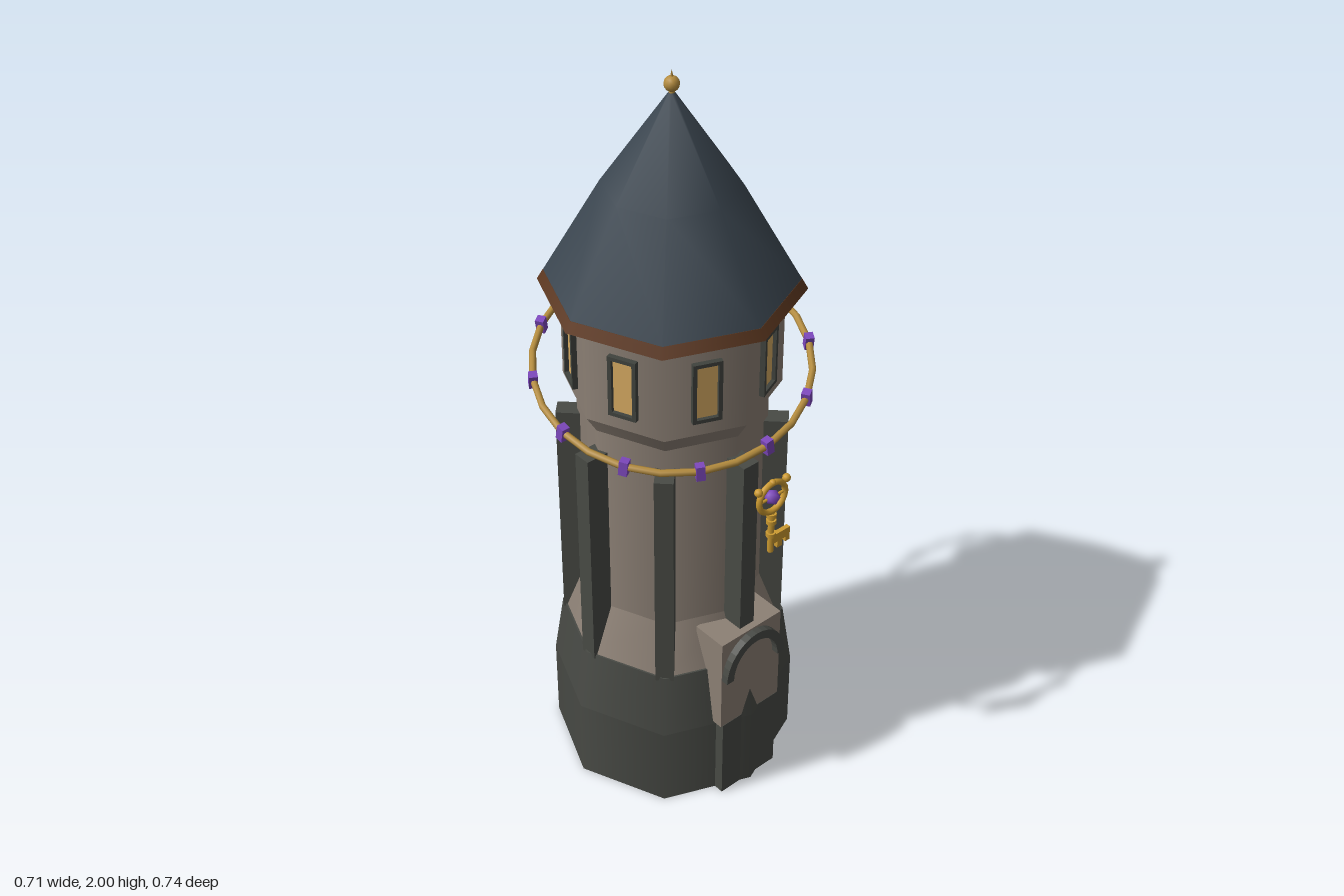
import * as THREE from 'three';

const mat = (name, color, side = THREE.FrontSide) => {
  const m = new THREE.MeshStandardMaterial({ color, side });
  m.name = name;
  return m;
};

export function createModel() {
  const darkStone = mat('dark stone', 0x484a45);
  const stone = mat('pale stone', 0x8c8075);
  const slate = mat('roof slate', 0x3b4650);
  const wood = mat('eave wood', 0x5c371f);
  const frameMat = mat('window frame', 0x40433e);
  const glow = mat('window glow', 0xd6aa62);
  const brass = mat('ring brass', 0xb48c3e);
  const gold = mat('key gold', 0xcc9a30);
  const purple = mat('purple gem', 0x7d48bd);

  const root = new THREE.Group();
  root.name = 'tower';
  const tower = new THREE.Group();
  tower.name = 'towerBody';
  tower.position.z = -0.013;
  root.add(tower);

  const add = (parent, name, geo, material, x = 0, y = 0, z = 0) => {
    const m = new THREE.Mesh(geo, material);
    m.name = name;
    m.position.set(x, y, z);
    parent.add(m);
    return m;
  };
  // Eight-sided course from radius r0 at y0 to r1 at y1
  const course = (name, material, r0, y0, r1, y1, open = true) =>
    add(tower, name, new THREE.CylinderGeometry(r1, r0, y1 - y0, 8, 1, open), material, 0, (y0 + y1) / 2, 0);

  // Base and shaft
  course('baseDrum', darkStone, 0.324, 0, 0.324, 0.24, false);
  course('baseTaper', darkStone, 0.324, 0.24, 0.297, 0.42, false);
  course('shaftFlare', stone, 0.292, 0.42, 0.241, 0.56);
  course('shaft', stone, 0.241, 0.56, 0.24, 1.12);

  // Upper room
  course('corbel', stone, 0.242, 1.12, 0.272, 1.17, false);
  course('upperRoom', stone, 0.272, 1.17, 0.272, 1.44);

  // Roof
  course('soffit', stone, 0.268, 1.432, 0.312, 1.436);
  course('eaveUnderside', wood, 0.31, 1.435, 0.325, 1.44);
  course('eaveEdge', wood, 0.325, 1.44, 0.31, 1.467, false);
  add(tower, 'roof', new THREE.LatheGeometry(
    [[0.312, 1.462], [0.168, 1.715], [0.008, 1.945]].map(p => new THREE.Vector2(...p)), 8), slate);

  // Finial
  add(tower, 'finialStem', new THREE.CylinderGeometry(0.006, 0.01, 0.04, 8), brass, 0, 1.94, 0);
  add(tower, 'finialBall', new THREE.SphereGeometry(0.019, 12, 8), brass, 0, 1.966, 0);
  add(tower, 'finialSpike', new THREE.ConeGeometry(0.006, 0.025, 8), brass, 0, 1.9875, 0);

  // Window frame with a rectangular opening
  const rect = (C, w, h) => new C([[-w, -h], [w, -h], [w, h], [-w, h]].map(p => new THREE.Vector2(...p)));
  const frameShape = rect(THREE.Shape, 0.037, 0.084);
  frameShape.holes.push(rect(THREE.Path, 0.027, 0.074));
  const frameGeo = new THREE.ExtrudeGeometry(frameShape, { depth: 0.022, bevelEnabled: false });
  const paneGeo = new THREE.BoxGeometry(0.056, 0.15, 0.006);

  for (let i = 0; i < 8; i++) {
    // Buttress on each corner
    const corner = new THREE.Group();
    corner.name = 'buttress' + i;
    corner.rotation.y = i * Math.PI / 4;
    add(corner, 'buttressPier', new THREE.BoxGeometry(0.048, 0.65, 0.09), darkStone, 0, 0.735, 0.247);
    tower.add(corner);
    // Window on each side
    const win = new THREE.Group();
    win.name = 'window' + i;
    win.rotation.y = (i + 0.5) * Math.PI / 4;
    add(win, 'windowFrame', frameGeo, frameMat, 0, 1.297, 0.243);
    add(win, 'windowPane', paneGeo, glow, 0, 1.297, 0.252);
    tower.add(win);
  }

  // Doorway: stone block, dark door slab below it, arch over it
  const doorway = new THREE.Group();
  doorway.name = 'doorway';
  root.add(doorway);
  add(doorway, 'doorBlock', new THREE.BoxGeometry(0.204, 0.29, 0.1), stone, 0, 0.395, 0.248);
  add(doorway, 'doorSlab', new THREE.BoxGeometry(0.19, 0.25, 0.1), darkStone, 0, 0.125, 0.249);
  const archShape = new THREE.Shape();
  archShape.absellipse(0, 0, 0.101, 0.118, 0, Math.PI, false);
  archShape.absellipse(0, 0, 0.077, 0.092, Math.PI, 0, true);
  add(doorway, 'doorArch', new THREE.ExtrudeGeometry(archShape,
    { depth: 0.03, bevelEnabled: false, curveSegments: 8 }), darkStone, 0, 0.418, 0.288);

  // Tilted ring floating around the upper room
  const R = 0.345;
  const onRing = a => new THREE.Vector3(
    R * Math.sin(a), 1.217 + 0.052 * Math.sin(a) - 0.066 * Math.cos(a), R * Math.cos(a));
  class RingCurve extends THREE.Curve {
    getPoint(t, target = new THREE.Vector3()) { return target.copy(onRing(t * Math.PI * 2)); }
  }
  add(tower, 'floatingRing', new THREE.TubeGeometry(new RingCurve(), 24, 0.009, 8, true), brass);
  const beadGeo = new THREE.BoxGeometry(0.022, 0.04, 0.022);
  for (let i = 0; i < 12; i++) {
    const a = i * Math.PI / 6;
    const p = onRing(a);
    const bead = add(tower, 'ringBead' + i, beadGeo, purple, p.x, p.y, p.z);
    bead.rotation.y = a;
    bead.rotateZ(0.15 * Math.cos(a) + 0.19 * Math.sin(a));
  }

  // Floating key
  const key = new THREE.Group();
  key.name = 'key';
  key.position.set(0, 1.008, 0.354);
  root.add(key);
  add(key, 'keyBow', new THREE.TorusGeometry(0.043, 0.008, 8, 20), gold);
  add(key, 'keyGem', new THREE.OctahedronGeometry(0.02, 1), purple);
  for (const s of [-1, 1]) {
    add(key, 'keyBowKnob', new THREE.SphereGeometry(0.011, 10, 8), gold, s * 0.046, 0.036, 0);
    const spoke = add(key, 'keySpoke', new THREE.CylinderGeometry(0.004, 0.004, 0.03, 6), gold, s * 0.029, 0, 0);
    spoke.rotation.z = Math.PI / 2;
  }
  add(key, 'keyTopKnob', new THREE.SphereGeometry(0.009, 10, 8), gold, 0, 0.044, 0);
  add(key, 'keyShaft', new THREE.CylinderGeometry(0.008, 0.008, 0.125, 8), gold, 0, -0.107, 0);
  for (const y of [-0.055, -0.075, -0.115])
    add(key, 'keyCollar', new THREE.CylinderGeometry(0.013, 0.013, 0.012, 10), gold, 0, y, 0);
  add(key, 'keyBit', new THREE.BoxGeometry(0.055, 0.026, 0.012), gold, 0.032, -0.133, 0);
  add(key, 'keyInnerTooth', new THREE.BoxGeometry(0.016, 0.022, 0.012), gold, 0.026, -0.155, 0);
  add(key, 'keyOuterTooth', new THREE.BoxGeometry(0.014, 0.016, 0.012), gold, 0.052, -0.152, 0);

  return root;
}
